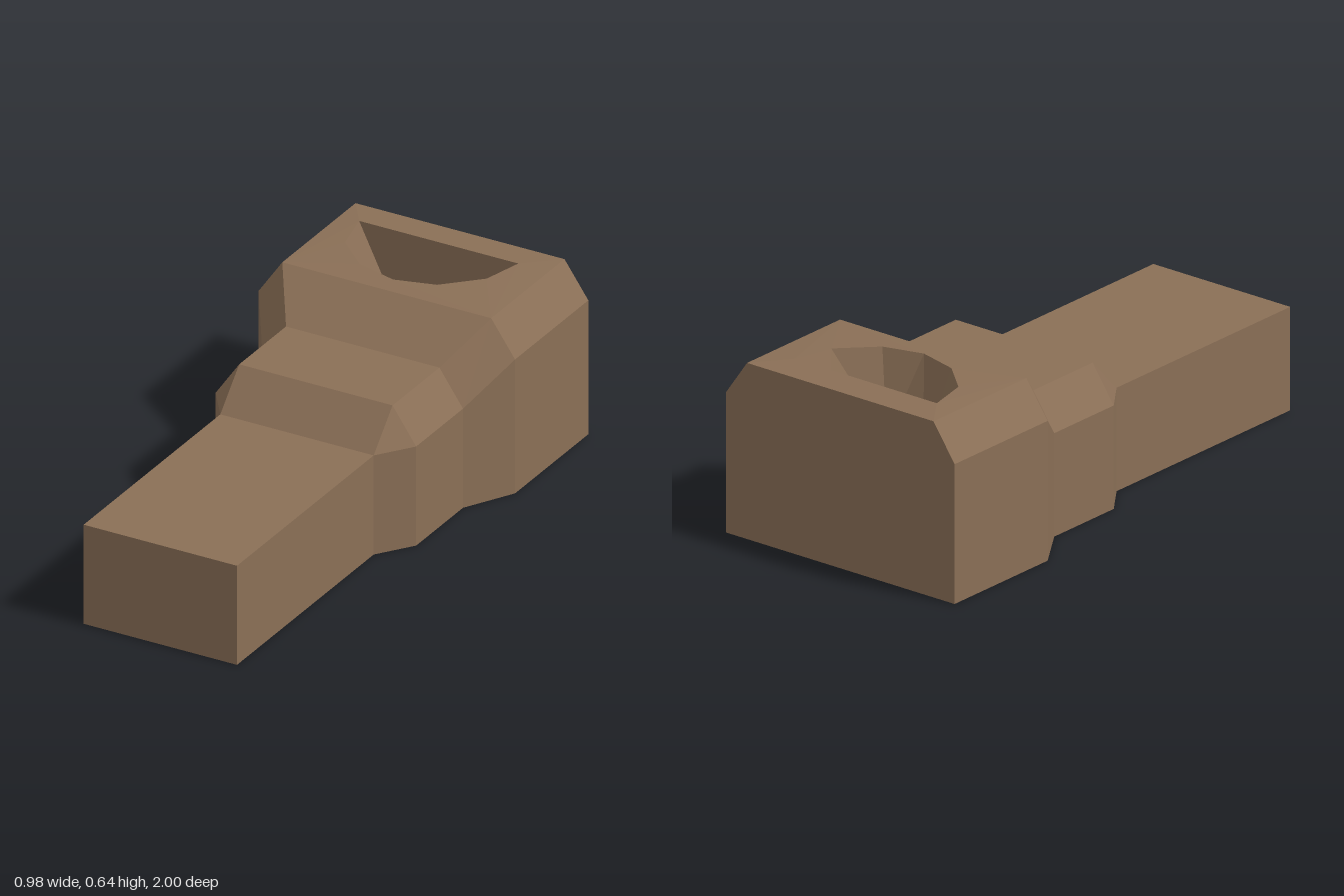
import * as THREE from 'three';

const v = (x, y, z) => new THREE.Vector3(x, y, z);

// Flat-shaded geometry from a list of triangle corners
function facets(points) {
  const geo = new THREE.BufferGeometry().setFromPoints(points);
  geo.computeVertexNormals();
  return geo;
}

// Six-sided section: vertical sides, chamfered shoulders, flat top
function section(z, sideL, sideR, shoulder, topL, topR, top) {
  return [v(sideR, 0, z), v(sideR, shoulder, z), v(topR, top, z),
    v(topL, top, z), v(sideL, shoulder, z), v(sideL, 0, z)];
}

// Skin between a front and a back section
function loft(front, back, openTop = false) {
  const out = [];
  const add = (a, b, c) => {
    if (new THREE.Triangle(a, b, c).getArea() > 1e-6) out.push(a, b, c);
  };
  for (let i = 0; i < 6; i++) {
    if (openTop && i === 2) continue;
    const j = (i + 1) % 6;
    add(front[i], back[i], back[j]);
    add(front[i], back[j], front[j]);
  }
  return facets(out);
}

function cap(s, flip) {
  const out = [];
  for (let i = 1; i < 5; i++) out.push(s[0], s[flip ? i + 1 : i], s[flip ? i : i + 1]);
  return facets(out);
}

export function createModel() {
  const group = new THREE.Group();
  const brown = new THREE.MeshStandardMaterial({ color: 0x8a6f56 });
  brown.name = 'brown';
  const add = (name, geo) => {
    const mesh = new THREE.Mesh(geo, brown);
    mesh.name = name;
    group.add(mesh);
  };

  // Stepped body, front to back
  const s = [
    section(1, -0.285, 0.3, 0.37, -0.285, 0.3, 0.37),
    section(0.095, -0.285, 0.3, 0.37, -0.285, 0.3, 0.37),
    section(-0.03, -0.375, 0.39, 0.37, -0.285, 0.3, 0.5),
    section(-0.34, -0.375, 0.39, 0.37, -0.285, 0.3, 0.5),
    section(-0.515, -0.49, 0.488, 0.5, -0.4, 0.397, 0.63),
    section(-1, -0.49, 0.488, 0.5, -0.4, 0.397, 0.63),
  ];
  const names = ['frontBar', 'lowerStep', 'middleBlock', 'upperStep', 'rearBlock'];
  names.forEach((name, i) => add(name, loft(s[i], s[i + 1], i === 4)));
  add('frontEnd', cap(s[0], false));
  add('backEnd', cap(s[5], true));

  // Rim of the hollow, from back right round the front to back left
  const rimY = 0.637;
  const rim = [[0.287, -0.885], [0.25, -0.74], [0.13, -0.62], [-0.015, -0.58],
    [-0.165, -0.62], [-0.285, -0.73], [-0.32, -0.885]].map(([x, z]) => v(x, rimY, z));

  // Top deck around the hollow, rising slightly to the rim
  const deck = new THREE.Shape([[-0.4, 0.515], [0.397, 0.515], [0.397, 1], [-0.4, 1]]
    .map(([x, y]) => new THREE.Vector2(x, y)));
  deck.holes.push(new THREE.Path(rim.map((p) => new THREE.Vector2(p.x, -p.z))));
  const deckGeo = new THREE.ShapeGeometry(deck).rotateX(-Math.PI / 2).toNonIndexed();
  const pos = deckGeo.attributes.position;
  for (let i = 0; i < pos.count; i++) {
    const onRim = pos.getZ(i) > -0.95 && pos.getZ(i) < -0.55;
    pos.setY(i, onRim ? rimY : 0.63);
  }
  deckGeo.computeVertexNormals();
  add('topDeck', deckGeo);

  // Faceted hollow with a small floor
  const floorY = 0.35;
  const [br, fr, fl, bl] = [[0.14, -0.885], [0.06, -0.683], [-0.1, -0.687], [-0.18, -0.885]]
    .map(([x, z]) => v(x, floorY, z));
  const r = rim;
  add('hollow', facets([
    r[1], r[0], br, r[1], br, fr, r[2], r[1], fr, r[3], r[2], fr, // right wall
    r[3], fr, fl, r[4], r[3], fl, r[5], r[4], fl, r[5], fl, bl, r[6], r[5], bl, // left wall
    r[0], r[6], bl, r[0], bl, br, // back wall
    fl, fr, br, fl, br, bl, // floor
  ]));

  return group;
}
